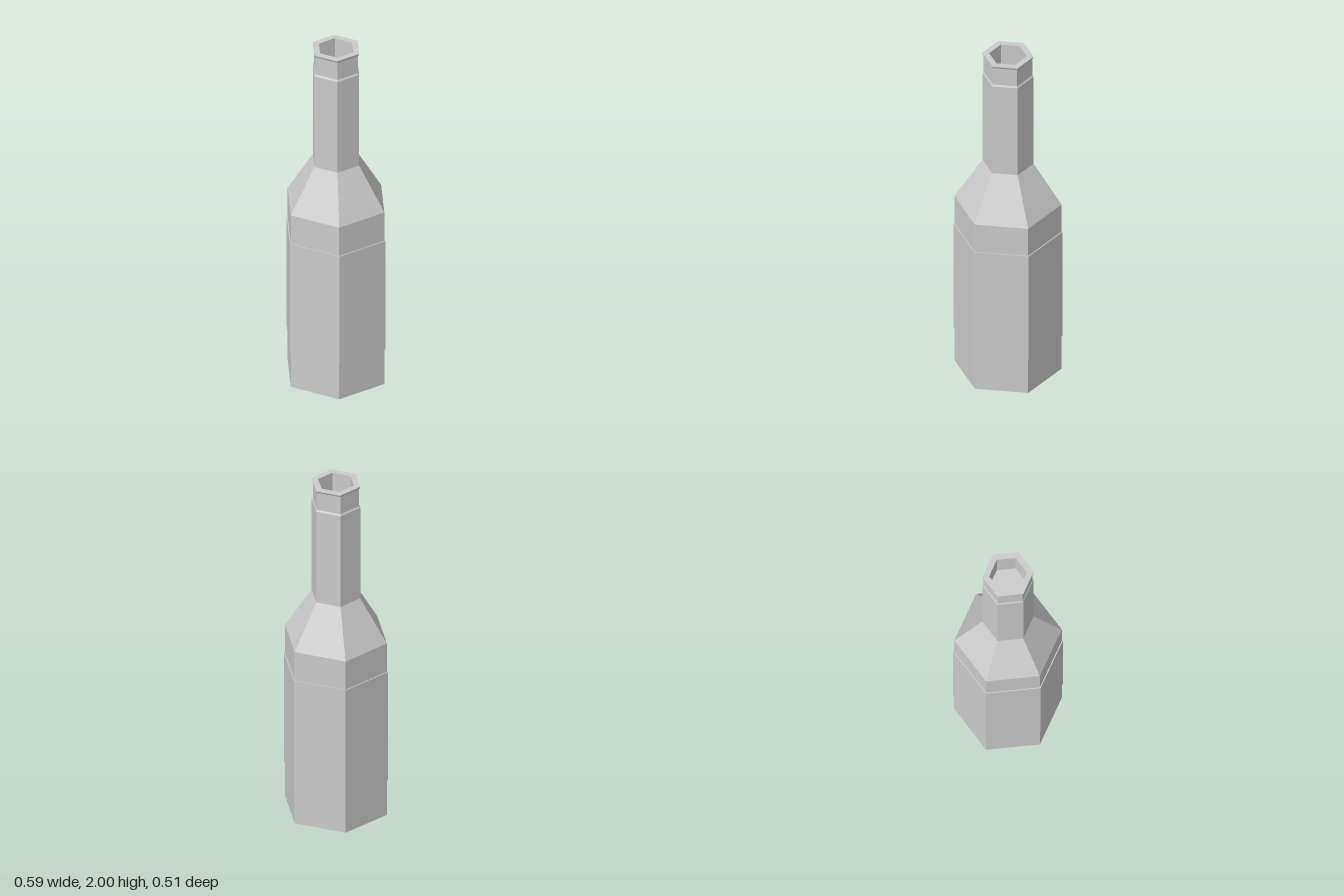
import * as THREE from 'three';

const material = new THREE.MeshStandardMaterial({ color: 0xcccccc, flatShading: true });

// Six-sided turned part from [radius, height] pairs, with corners on the x axis
function hexLathe(name, profile) {
  const points = profile.map(([r, y]) => new THREE.Vector2(r, y));
  const mesh = new THREE.Mesh(new THREE.LatheGeometry(points, 6, Math.PI / 2), material);
  mesh.name = name;
  return mesh;
}

export function createModel() {
  const model = new THREE.Group();
  model.name = 'bottle';

  // Base, shoulder, neck, lip and the hollow mouth
  model.add(hexLathe('bottleBody', [
    [0, 0], [0.287, 0], [0.287, 1.06],
    [0.137, 1.31], [0.137, 1.87],
    [0.131, 1.88], [0.131, 1.985],
    [0.137, 1.995], [0.137, 2],
    [0.101, 2], [0.101, 1.84], [0, 1.84],
  ]));

  // Label band wrapped around the body
  model.add(hexLathe('label', [
    [0.287, 0.215], [0.293, 0.215], [0.293, 0.885], [0.287, 0.885],
  ]));

  return model;
}
